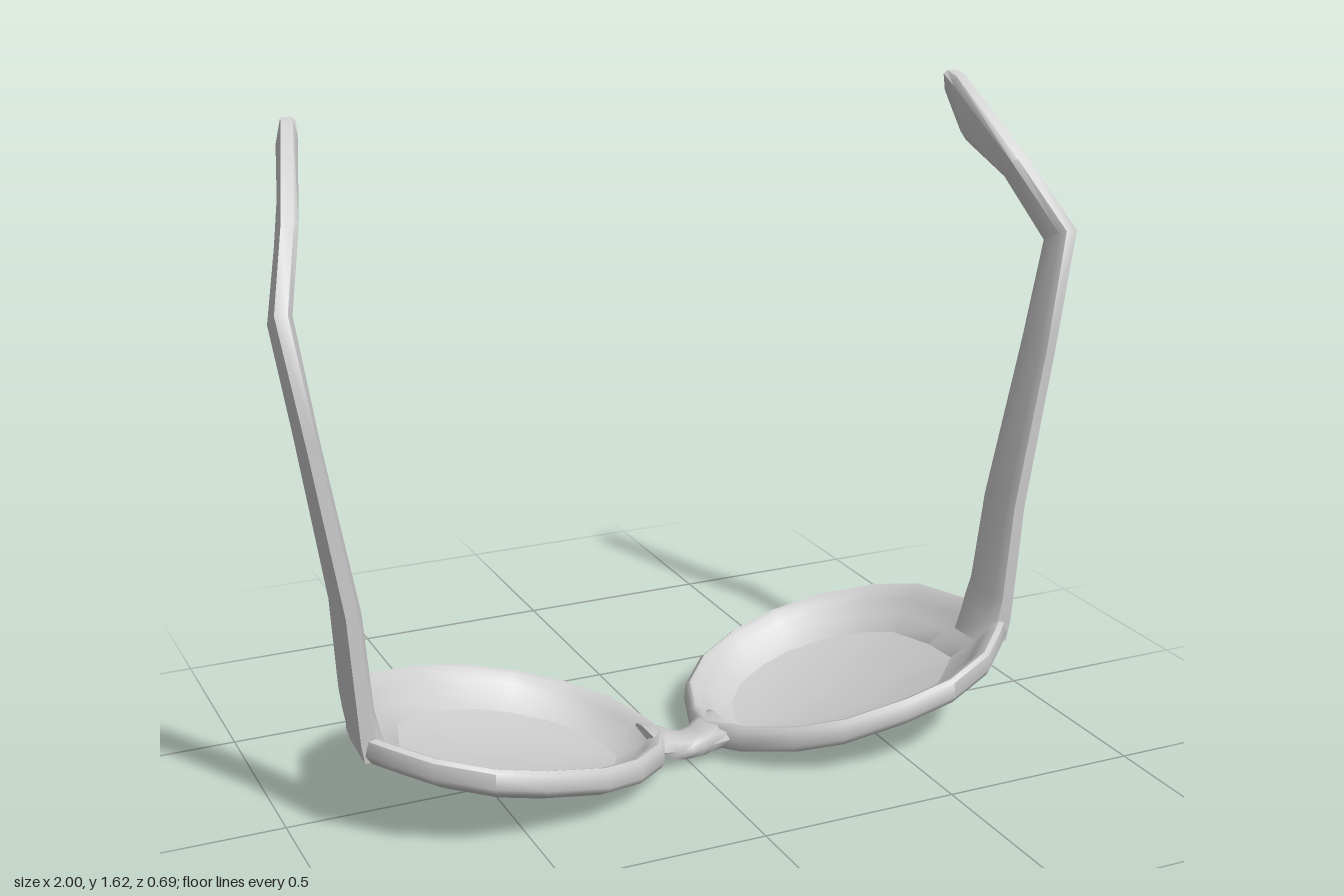
import * as THREE from 'three';
import { toCreasedNormals } from 'three/addons/utils/BufferGeometryUtils.js';

const material = new THREE.MeshStandardMaterial({ color: 0xcccccc });

// Skins a list of equal-length point rings into a closed solid.
// wrap joins the last ring to the first; otherwise both ends are capped.
function loft(rings, wrap, crease) {
  const n = rings[0].length;
  const pos = rings.flat(2);
  const index = [];
  const count = wrap ? rings.length : rings.length - 1;
  for (let i = 0; i < count; i++) {
    const a = i * n, b = ((i + 1) % rings.length) * n;
    for (let j = 0; j < n; j++) {
      const k = (j + 1) % n;
      index.push(a + j, b + j, b + k, a + j, b + k, a + k);
    }
  }
  if (!wrap) {
    [0, rings.length - 1].forEach((r) => {
      const centre = [0, 1, 2].map((c) => rings[r].reduce((s, p) => s + p[c], 0) / n);
      const id = pos.length / 3;
      pos.push(...centre);
      for (let j = 0; j < n; j++) {
        const a = r * n + j, b = r * n + ((j + 1) % n);
        if (r === 0) index.push(id, a, b);
        else index.push(id, b, a);
      }
    });
  }
  // Turn the faces outward whatever the ring direction or mirroring
  const v = (i) => new THREE.Vector3().fromArray(pos, i * 3);
  let volume = 0;
  for (let i = 0; i < index.length; i += 3) {
    volume += v(index[i]).dot(v(index[i + 1]).cross(v(index[i + 2])));
  }
  if (volume < 0) index.reverse();
  const g = new THREE.BufferGeometry();
  g.setAttribute('position', new THREE.Float32BufferAttribute(pos, 3));
  g.setIndex(index);
  return toCreasedNormals(g, crease);
}

// Rim outline (x, z) of the left eye
const outline = [
  [0.045, 0.05], [0.055, -0.04], [0.10, -0.17], [0.19, -0.27], [0.31, -0.33],
  [0.44, -0.35], [0.58, -0.325], [0.71, -0.26], [0.80, -0.165], [0.85, 0.02],
  [0.858, 0.165], [0.81, 0.215], [0.73, 0.29], [0.60, 0.34], [0.47, 0.34],
  [0.31, 0.31], [0.20, 0.25], [0.10, 0.15],
];
const CX = 0.45, CZ = -0.01;

// Scaled copy of the outline, sunk below the tilted rim plane
function eyeRing(side, [r, depth]) {
  return outline.map(([ox, oz]) => {
    const x = CX + (ox - CX) * r, z = CZ + (oz - CZ) * r;
    return [side * x, 0.06 + 0.24 * x - depth, z];
  });
}

// Profiles as (radius fraction, depth)
const rimProfile = [
  [0.68, 0.084], [0.8, 0.056], [0.87, 0.027], [0.92, 0.006], [0.96, 0], [0.99, 0.008],
  [1, 0.045], [0.98, 0.06], [0.91, 0.076], [0.8, 0.095], [0.68, 0.113],
];
const lensProfile = [
  [0.05, 0.115], [0.3, 0.11], [0.5, 0.1], [0.68, 0.084],
  [0.68, 0.113], [0.5, 0.128], [0.3, 0.139], [0.05, 0.143],
];

// Temple sections: front edge [y, z], back edge [y, z],
// then outer x at front and back, and thickness
const templeSections = [
  [[0.20, 0.172], [0.20, 0.025], 0.852, 0.845, 0.07],
  [[0.25, 0.175], [0.28, 0.022], 0.86, 0.858, 0.055],
  [[0.32, 0.177], [0.33, 0.025], 0.865, 0.865, 0.045],
  [[0.56, 0.18], [0.56, 0.042], 0.882, 0.882, 0.042],
  [[0.97, 0.18], [0.97, 0.068], 0.95, 0.95, 0.036],
  [[1.26, 0.17], [1.22, 0.085], 1.0, 0.995, 0.042],
  [[1.42, 0.03], [1.36, -0.02], 0.94, 0.945, 0.042],
  [[1.60, -0.17], [1.44, -0.15], 0.877, 0.90, 0.04],
  [[1.61, -0.205], [1.55, -0.212], 0.868, 0.88, 0.036],
];

function templeRing(side, [[fy, fz], [by, bz], fx, bx, t]) {
  // Small bevels on the inner corners soften the cross-section
  const mix = (a, b, k) => a + (b - a) * k;
  const at = (k, inset) => [side * (mix(fx, bx, k) - inset), mix(fy, by, k), mix(fz, bz, k)];
  return [at(0, 0), at(1, 0), at(1, t * 0.7), at(0.85, t), at(0.15, t), at(0, t * 0.7)];
}

// Bridge sections: |x|, bottom y, top y, back z, front z
const bridgeSections = [
  [0.10, 0.03, 0.08, -0.03, 0.13],
  [0.05, 0.008, 0.072, -0.012, 0.112],
  [0.03, 0.0, 0.062, 0.0, 0.106],
  [0.0, 0.0, 0.052, 0.002, 0.105],
];

function bridgeRing(x, [, y0, y1, z0, z1]) {
  return Array.from({ length: 10 }, (_, i) => {
    const a = (i / 10) * Math.PI * 2, c = Math.cos(a), s = Math.sin(a);
    const soft = (q) => Math.sign(q) * Math.abs(q) ** 0.7;
    return [x, (y0 + y1) / 2 + soft(s) * (y1 - y0) / 2, (z0 + z1) / 2 + soft(c) * (z1 - z0) / 2];
  });
}

export function createModel() {
  const group = new THREE.Group();
  group.name = 'sunglasses';
  const add = (name, geometry) => {
    const mesh = new THREE.Mesh(geometry, material);
    mesh.name = name;
    group.add(mesh);
  };

  for (const [side, label] of [[1, 'left'], [-1, 'right']]) {
    add(label + 'Rim', loft(rimProfile.map((p) => eyeRing(side, p)), true, 0.9));
    add(label + 'Lens', loft(lensProfile.map((p) => eyeRing(side, p)), false, 0.9));
    add(label + 'Temple', loft(templeSections.map((s) => templeRing(side, s)), false, 0.8));
  }

  // Nose bridge, mirrored about its middle section
  const half = bridgeSections.map((s) => bridgeRing(-s[0], s));
  const other = bridgeSections.slice(0, -1).reverse().map((s) => bridgeRing(s[0], s));
  add('bridge', loft([...half, ...other], false, 0.9));

  return group;
}
